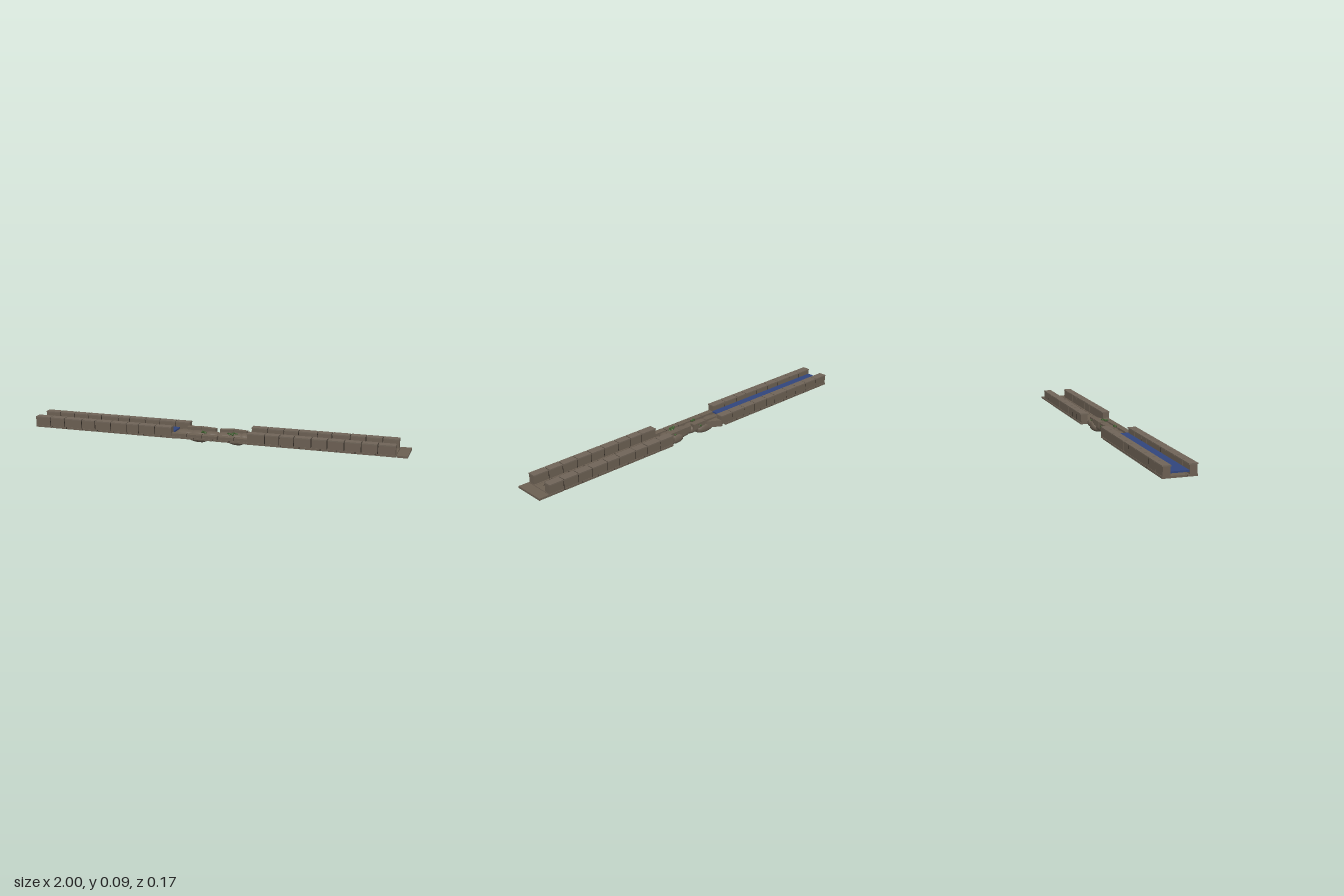
import * as THREE from 'three';

const mat = (name, color) => {
  const m = new THREE.MeshStandardMaterial({ color });
  m.name = name;
  return m;
};

export function createModel() {
  const root = new THREE.Group();
  root.name = 'brokenAqueduct';
  const stone = mat('stone', 0x6b5f52);
  const capStone = mat('capStone', 0x6f6458);
  const joint = mat('darkJoint', 0x2e2822);
  const water = mat('water', 0x31457c);
  const moss = mat('moss', 0x3c5a2c);

  let seed = 7;
  const rand = () => (seed = (seed * 16807) % 2147483647) / 2147483647;

  const group = (name, parent = root) => {
    const g = new THREE.Group();
    g.name = name;
    parent.add(g);
    return g;
  };
  // Box given by its limits on each axis
  const box = (parent, name, m, x0, x1, y0, y1, z0, z1) => {
    const mesh = new THREE.Mesh(new THREE.BoxGeometry(x1 - x0, y1 - y0, z1 - z0), m);
    mesh.position.set((x0 + x1) / 2, (y0 + y1) / 2, (z0 + z1) / 2);
    mesh.name = name;
    parent.add(mesh);
    return mesh;
  };
  // Splits a length into slightly uneven stones
  const stones = (x0, x1, size, place) => {
    const n = Math.round((x1 - x0) / size), step = (x1 - x0) / n;
    let a = x0;
    for (let i = 1; i <= n; i++) {
      const b = i === n ? x1 : x0 + i * step + (rand() - 0.5) * step * 0.25;
      place(a + (i > 1 ? 0.002 : 0), b - (i < n ? 0.002 : 0));
      a = b;
    }
  };

  // Floor slabs over a dark core that shows in the joints
  const floor = (name, x0, x1, z0, z1) => {
    const g = group(name);
    box(g, 'floorCore', joint, x0 + 0.001, x1 - 0.001, 0.032, 0.0395, z0 + 0.001, z1 - 0.001);
    for (const [a, b] of [[z0, 0.035], [0.037, z1]]) {
      stones(x0, x1, 0.095, (p, q) => box(g, 'floorSlab', stone, p, q, 0.031, 0.041, a, b));
    }
  };
  floor('floorLeft', -1, -0.19, -0.083, 0.083);
  floor('floorBroken', -0.19, 0.18, -0.02, 0.078);
  floor('floorRight', 0.18, 0.942, -0.083, 0.083);
  box(root, 'endSlab', stone, 0.945, 1, 0.031, 0.041, -0.083, 0.083);

  // Parapet walls with overhanging cap stones
  const wall = (name, x0, x1, side) => {
    const g = group(name);
    const put = (n, m, a, b, y0, y1, i, o) =>
      box(g, n, m, a, b, y0, y1, Math.min(side * i, side * o), Math.max(side * i, side * o));
    put('wallCore', joint, x0 + 0.001, x1 - 0.001, 0.041, 0.087, 0.046, 0.079);
    stones(x0, x1, 0.085, (a, b) => {
      put('wallBlock', stone, a, b, 0.041, 0.083, 0.045, 0.08);
      put('capBlock', capStone, a, b, 0.083, 0.089, 0.041, 0.083);
    });
  };
  wall('frontWallLeft', -1, -0.22, 1);
  wall('backWallLeft', -1, -0.16, -1);
  wall('frontWallRight', 0.19, 0.94, 1);
  wall('backWallRight', 0.18, 0.94, -1);

  // Low remains of the front wall across the break
  const curb = group('brokenCurb');
  box(curb, 'curbCore', joint, -0.22, 0.19, 0.041, 0.054, 0.044, 0.073);
  stones(-0.22, 0.19, 0.08, (a, b) => box(curb, 'curbBlock', stone, a, b, 0.041, 0.056, 0.043, 0.075));

  // Channel water on the intact stretch
  box(root, 'water', water, -0.998, -0.215, 0.052, 0.06, -0.044, 0.044);

  // Lumpy rounded boulders filling the break
  const rubble = group('rubble');
  const boulder = (x, y, z, rx, ry, rz, k) => {
    const geo = new THREE.SphereGeometry(1, 18, 12);
    const p = geo.attributes.position, v = new THREE.Vector3();
    for (let i = 0; i < p.count; i++) {
      v.fromBufferAttribute(p, i);
      const s = 0.95 + 0.05 * Math.sin(4 * v.x + k) * Math.cos(3 * v.y + 5 * v.z + k);
      // Blunt the sphere towards a worn block
      const f = (c) => Math.sign(c) * Math.pow(Math.abs(c), 0.8) * s;
      p.setXYZ(i, f(v.x) * rx, f(v.y) * ry, f(v.z) * rz);
    }
    geo.computeVertexNormals();
    const mesh = new THREE.Mesh(geo, stone);
    mesh.position.set(x, y, z);
    mesh.name = 'boulder';
    rubble.add(mesh);
  };
  boulder(-0.165, 0.038, -0.002, 0.058, 0.025, 0.044, 0);
  boulder(-0.09, 0.032, -0.004, 0.062, 0.031, 0.046, 1);
  boulder(-0.02, 0.04, 0.004, 0.05, 0.024, 0.038, 2);
  boulder(0.05, 0.04, 0.003, 0.05, 0.024, 0.04, 3);
  boulder(0.115, 0.034, -0.004, 0.055, 0.032, 0.048, 4);
  boulder(0.158, 0.04, -0.006, 0.036, 0.027, 0.046, 5);

  // Fallen wall pieces lying along the back edge
  const fallen = [[-0.125, 0.075, 0.05], [-0.045, 0.08, -0.04], [0.055, 0.075, 0.04], [0.128, 0.07, -0.05]];
  for (const [x, w, turn] of fallen) {
    const m = box(rubble, 'fallenBlock', stone, x - w / 2, x + w / 2, 0.045, 0.075, -0.038, -0.01);
    m.rotation.set(turn * 0.5, turn, turn);
  }
  // Pointed shard at the end of the back wall
  const shard = new THREE.Shape([[-0.17, 0.08], [-0.16, 0.08], [-0.09, 0.04], [-0.17, 0.03]]
    .map(([x, y]) => new THREE.Vector2(x, y)));
  const shardMesh = new THREE.Mesh(
    new THREE.ExtrudeGeometry(shard, { depth: 0.035, bevelEnabled: false }), stone);
  shardMesh.rotation.x = -Math.PI / 2;
  shardMesh.position.y = 0.031;
  shardMesh.name = 'wallShard';
  rubble.add(shardMesh);

  // Moss tufts between the stones
  const tufts = group('mossTufts');
  for (const [x, y, z] of [[-0.06, 0.06, 0.028], [-0.04, 0.06, -0.036], [0.09, 0.062, 0.028], [0.11, 0.06, 0.016], [0.13, 0.062, -0.036]]) {
    for (let i = 0; i < 4; i++) {
      const leaf = new THREE.Mesh(new THREE.IcosahedronGeometry(0.007, 0), moss);
      leaf.scale.set(1.2, 0.6, 0.9);
      leaf.position.set(x + (rand() - 0.5) * 0.024, y + rand() * 0.006, z + (rand() - 0.5) * 0.014);
      leaf.rotation.set(rand() * 3, rand() * 3, 0);
      leaf.name = 'mossLeaf';
      tufts.add(leaf);
    }
  }

  // Thin cracks across the dry channel floor
  const cracks = group('floorCracks');
  for (const [x, z, turn] of [[0.24, -0.02, 0.6], [0.26, 0, -0.8], [0.32, 0.005, 1.1], [0.45, -0.015, 0.5], [0.55, -0.01, -1], [0.7, 0, 0.3], [0.84, 0, -1.2], [0.9, 0.015, 0.7]]) {
    const c = box(cracks, 'crack', joint, x - 0.016, x + 0.016, 0.04, 0.0415, z - 0.0012, z + 0.0012);
    c.rotation.y = turn;
  }

  return root;
}
